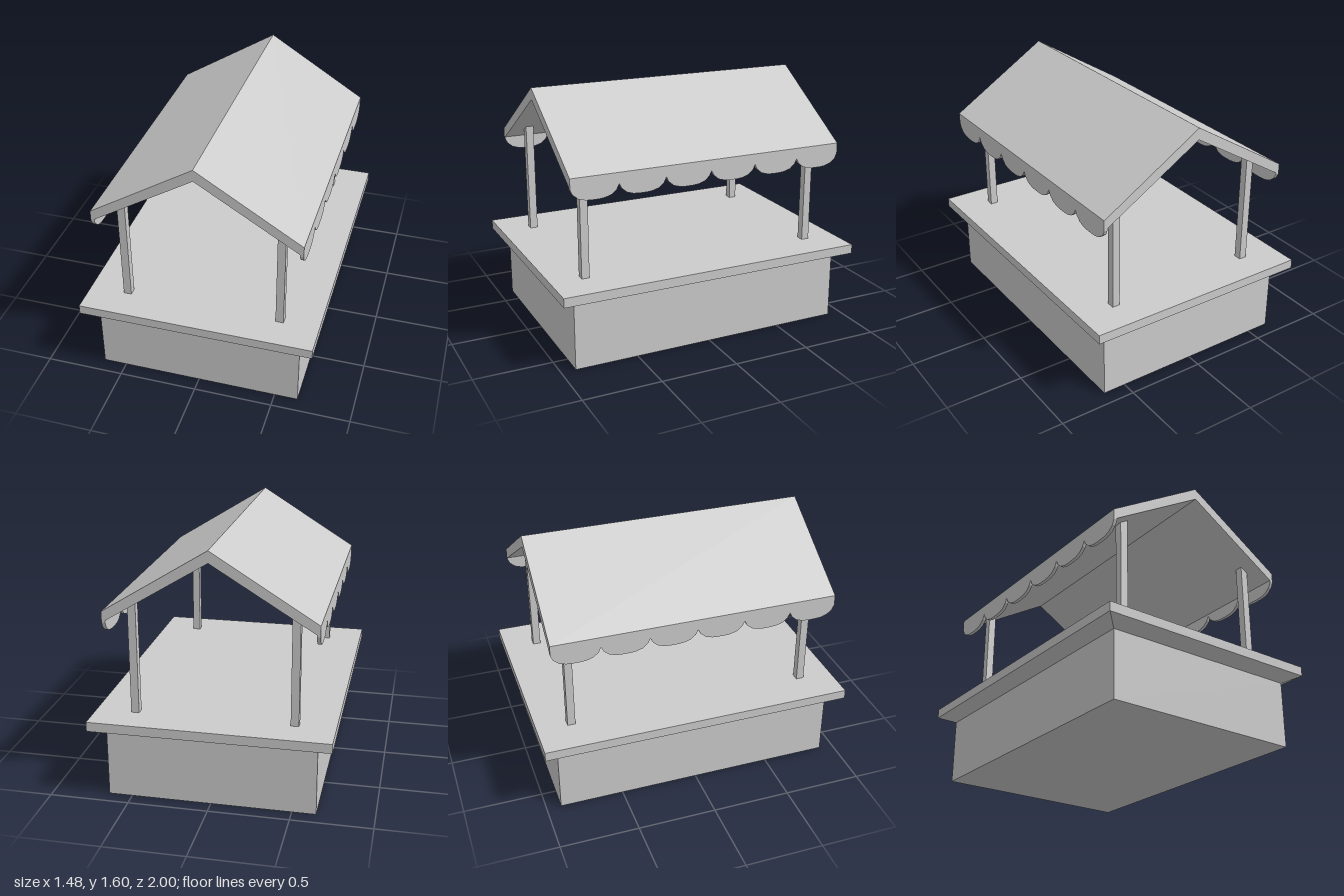
import * as THREE from 'three';

const material = new THREE.MeshStandardMaterial({ color: 0xcccccc, flatShading: true });

function add(parent, name, geometry, x = 0, y = 0, z = 0) {
  const mesh = new THREE.Mesh(geometry, material);
  mesh.name = name;
  mesh.position.set(x, y, z);
  parent.add(mesh);
  return mesh;
}

// Extrude an outline along z, centred on z = 0
function extrude(points, depth) {
  const shape = new THREE.Shape(points.map(([x, y]) => new THREE.Vector2(x, y)));
  return new THREE.ExtrudeGeometry(shape, { depth, bevelEnabled: false }).translate(0, 0, -depth / 2);
}

export function createModel() {
  const stall = new THREE.Group();
  stall.name = 'marketStall';
  const halfX = 0.648, halfZ = 0.907;

  // Solid base
  add(stall, 'base', new THREE.BoxGeometry(halfX * 2, 0.42, halfZ * 2), 0, 0.21, 0);

  // Sloped moulding: a box whose lower corners are pulled in to the base
  const moulding = new THREE.BoxGeometry(1.484, 0.042, 2);
  const p = moulding.attributes.position;
  for (let i = 0; i < p.count; i++) {
    if (p.getY(i) < 0) {
      p.setX(i, Math.sign(p.getX(i)) * halfX);
      p.setZ(i, Math.sign(p.getZ(i)) * halfZ);
    }
  }
  moulding.computeVertexNormals();
  add(stall, 'counterMoulding', moulding, 0, 0.439, 0);
  add(stall, 'counterTop', new THREE.BoxGeometry(1.484, 0.06, 2), 0, 0.49, 0);

  // Four posts, with tops buried in the roof
  for (const x of [-1, 1]) for (const z of [-1, 1]) {
    add(stall, 'post', new THREE.BoxGeometry(0.05, 0.72, 0.05), x * 0.494, 0.88, z * 0.78);
  }

  // Gabled roof
  add(stall, 'roof', extrude([
    [-0.645, 1.128], [0, 1.523], [0.645, 1.128],
    [0.645, 1.197], [0, 1.597], [-0.645, 1.197],
  ], halfZ * 2));

  // Scalloped valance under each eave
  const count = 6, width = halfZ * 2 / count;
  const scallop = [[0, 1.13], [0.05, 1.098], [0.16, 1.07], [0.3, 1.057], [0.42, 1.054],
    [0.58, 1.054], [0.7, 1.057], [0.84, 1.07], [0.95, 1.098]];
  const outline = [];
  for (let i = 0; i < count; i++) {
    for (const [u, y] of scallop) outline.push([-halfZ + (i + u) * width, y]);
  }
  outline.push([halfZ, 1.13], [halfZ, 1.15], [-halfZ, 1.15]);
  for (const side of [-1, 1]) {
    const valance = add(stall, 'valance', extrude(outline, 0.022), side * 0.634, 0, 0);
    valance.rotation.y = Math.PI / 2;
  }
  return stall;
}
